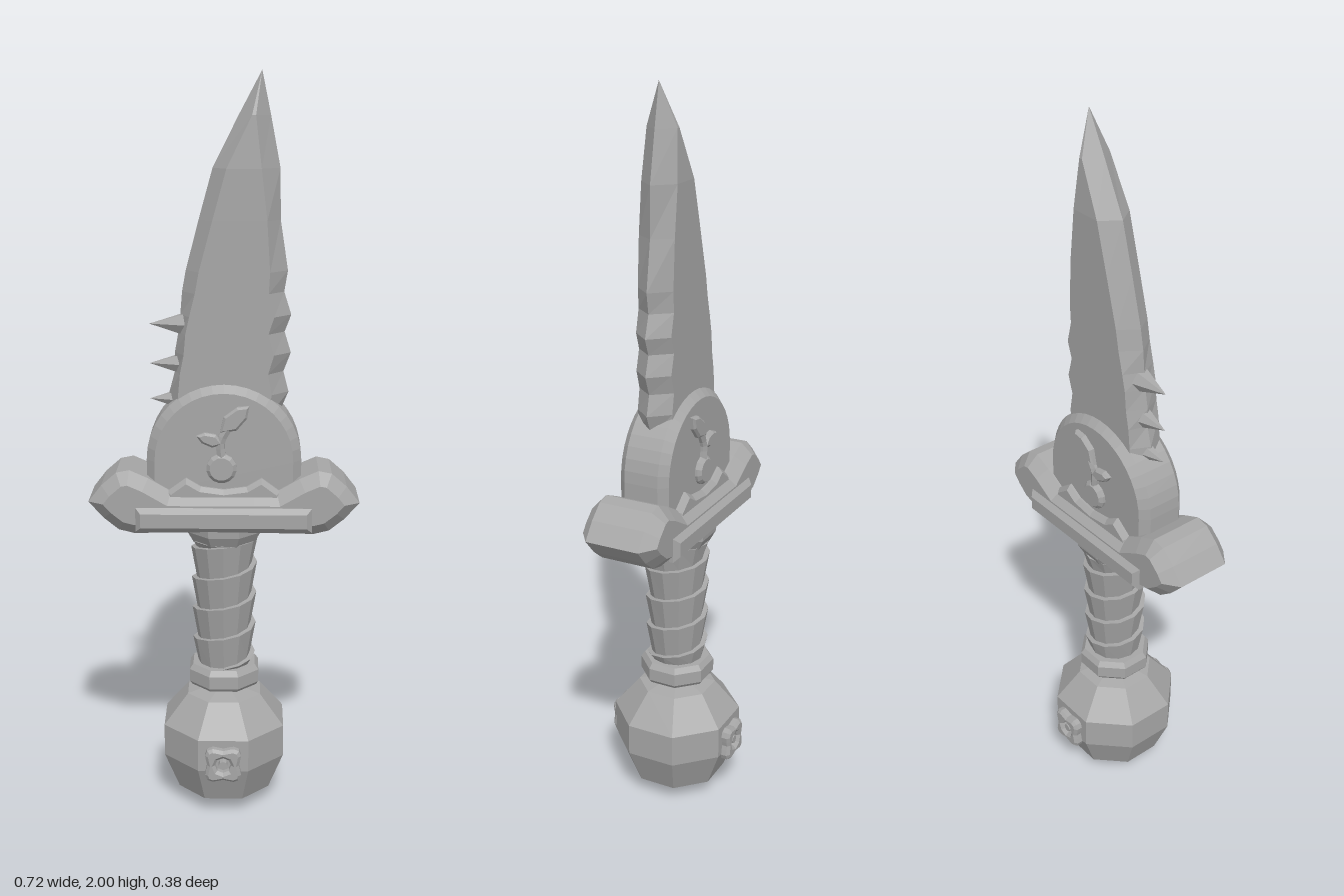
import * as THREE from 'three';
import { ParametricGeometry } from 'three/addons/geometries/ParametricGeometry.js';

const steel = new THREE.MeshStandardMaterial({ color: 0xa6a6a6, side: THREE.DoubleSide });
steel.name = 'grey steel';

export function createModel() {
  const model = new THREE.Group();
  model.name = 'dagger';

  // Adds a faceted mesh
  function add(name, geometry, parent = model) {
    const g = geometry.index ? geometry.toNonIndexed() : geometry;
    g.computeVertexNormals();
    const mesh = new THREE.Mesh(g, steel);
    mesh.name = name;
    parent.add(mesh);
    return mesh;
  }

  // Chamfered slab from an outline, spanning z0 to z1
  function slab(points, z0, z1, bevel, hole, bothSides = true) {
    const shape = new THREE.Shape(points.map(([x, y]) => new THREE.Vector2(x, y)));
    if (hole) shape.holes.push(new THREE.Path(hole.map(([x, y]) => new THREE.Vector2(x, y))));
    const g = new THREE.ExtrudeGeometry(shape, {
      depth: z1 - z0 - 2 * bevel, bevelEnabled: bevel > 0, bevelThickness: bevel,
      bevelSize: bevel, bevelOffset: -bevel, bevelSegments: 1, curveSegments: 8,
    });
    return g.translate(0, 0, z0 + bevel);
  }

  // Closed outline in polar form
  const ring = (n, radius, cx = 0, cy = 0) => Array.from({ length: n }, (_, i) => {
    const a = (i / n) * Math.PI * 2, r = radius(a);
    return [cx + r * Math.cos(a), cy + r * Math.sin(a)];
  });

  // Eight-sided turned part with a flat facing the front
  function turned(profile) {
    const k = 1 / Math.cos(Math.PI / 8);
    const pts = profile.map(([r, y]) => new THREE.Vector2(r * k, y));
    return new THREE.LatheGeometry(pts, 8, Math.PI / 8);
  }

  // Blade sections: y, left edge, left bevel, right bevel, right edge, half thickness
  const rows = [
    [0.98, -0.13, -0.11, 0.11, 0.14, 0.05],
    [1.12, -0.15, -0.125, 0.115, 0.145, 0.05],
    [1.18, -0.145, -0.12, 0.125, 0.17, 0.05],
    [1.235, -0.13, -0.115, 0.115, 0.156, 0.05],
    [1.285, -0.13, -0.105, 0.13, 0.175, 0.05],
    [1.34, -0.12, -0.1, 0.115, 0.158, 0.05],
    [1.385, -0.115, -0.09, 0.13, 0.175, 0.05],
    [1.445, -0.11, -0.075, 0.115, 0.156, 0.05],
    [1.5, -0.1, -0.065, 0.118, 0.165, 0.05],
    [1.63, -0.066, -0.03, 0.11, 0.145, 0.05],
    [1.76, -0.03, 0.006, 0.095, 0.143, 0.05],
    [1.89, 0.036, 0.07, 0.08, 0.118, 0.042],
    [2.0, 0.095, 0.095, 0.095, 0.095, 0],
  ];
  const pos = [], idx = [];
  rows.forEach(([y, oL, iL, iR, oR, t], r) => {
    pos.push(oL, y, 0, iL, y, t, iR, y, t, oR, y, 0, iR, y, -t, iL, y, -t);
    if (r === rows.length - 1) return;
    for (let i = 0; i < 6; i++) {
      const a = r * 6 + i, b = r * 6 + (i + 1) % 6;
      idx.push(a, b, b + 6, a, b + 6, a + 6);
    }
  });
  const bladeGeo = new THREE.BufferGeometry();
  bladeGeo.setAttribute('position', new THREE.Float32BufferAttribute(pos, 3));
  bladeGeo.setIndex(idx);
  add('blade', bladeGeo);

  // Spikes on the back of the blade
  for (const y of [1.36, 1.255, 1.16]) {
    const spike = add('spike', new THREE.ConeGeometry(0.034, 0.1, 6));
    spike.rotation.z = Math.PI / 2;
    spike.position.set(-0.147, y, 0);
  }

  // Round blade mount
  const arch = [[-0.205, 0.9], [0.205, 0.9]];
  for (let i = 0; i <= 20; i++) {
    const a = (i / 20) * Math.PI;
    arch.push([0.205 * Math.cos(a), 1.005 + 0.205 * Math.sin(a)]);
  }
  add('bladeMount', slab(arch, -0.07, 0.07, 0.022));

  // Winged guard, mirrored outline from right tip to centre
  const top = [[0.36, 0.895], [0.325, 0.94], [0.285, 0.975], [0.25, 0.982], [0.2, 0.96], [0.14, 0.925], [0.08, 0.925]];
  const bottom = [[0.1, 0.81], [0.24, 0.808], [0.28, 0.818], [0.32, 0.85]];
  const mirror = (list) => list.map(([x, y]) => [-x, y]).reverse();
  add('guard', slab([...top, ...mirror(top), ...mirror(bottom), ...bottom], -0.107, 0.107, 0.032));

  // Pointed crest over the guard centre
  add('guardCrest', slab([[-0.16, 0.88], [0.16, 0.88], [0.15, 0.925], [0.1, 0.962], [0.06, 0.938],
    [0, 0.93], [-0.06, 0.938], [-0.1, 0.962], [-0.15, 0.925]], -0.088, 0.088, 0.012));

  // Neck collar, lower collar and pommel
  add('neckCollar', turned([[0, 0.83], [0.1, 0.825], [0.098, 0.8], [0.082, 0.77], [0, 0.77]].reverse()));
  add('lowerCollar', turned([[0, 0.355], [0.088, 0.355], [0.095, 0.365], [0.095, 0.4], [0.085, 0.415], [0, 0.415]]));
  add('pommel', turned([[0, 0.004], [0.125, 0.05], [0.165, 0.155], [0.165, 0.245], [0.1, 0.328], [0, 0.352]]));

  // Grip core with an overlapping helical wrap
  add('gripCore', new THREE.CylinderGeometry(0.076, 0.07, 0.38, 12).translate(0, 0.59, 0));
  const turns = 5, pitch = 0.088;
  add('gripWrap', new ParametricGeometry((u, v, target) => {
    const a = u * turns * Math.PI * 2;
    const t = Math.min(v * 2, 1), ledge = Math.max(v * 2 - 1, 0);
    const y = THREE.MathUtils.clamp(0.33 + pitch * (u * turns + t), 0.41, 0.775);
    const r = 0.071 + 0.014 * t - 0.014 * ledge + 0.006 * (y - 0.41) / 0.365;
    target.set(r * Math.sin(a), y, r * Math.cos(a));
  }, turns * 12, 2));

  // Details repeated on front and back
  for (const side of [1, -1]) {
    const face = new THREE.Group();
    face.name = side > 0 ? 'frontDetails' : 'backDetails';
    const put = (name, geometry) => {
      if (side < 0) {
        // Mirror in z and restore the corner order
        geometry = geometry.index ? geometry.toNonIndexed() : geometry;
        geometry.scale(1, 1, -1);
        const p = geometry.attributes.position;
        const a = new THREE.Vector3(), b = new THREE.Vector3();
        for (let i = 0; i < p.count; i += 3) {
          a.fromBufferAttribute(p, i + 1);
          b.fromBufferAttribute(p, i + 2);
          p.setXYZ(i + 1, b.x, b.y, b.z);
          p.setXYZ(i + 2, a.x, a.y, a.z);
        }
      }
      return add(name, geometry, face);
    };

    // Bar across the guard
    put('guardBar', slab([[-0.233, 0.822], [0.233, 0.822], [0.233, 0.888], [-0.233, 0.888]], 0.08, 0.122, 0.014));

    // Four-lobed stud on the pommel
    const lobes = (a) => 0.052 - 0.009 * Math.cos(4 * a);
    put('pommelStud', slab(ring(24, lobes, 0, 0.18), 0.155, 0.188, 0.008, ring(8, () => 0.022, 0, 0.18).reverse()));
    put('studCentre', new THREE.CylinderGeometry(0.012, 0.014, 0.03, 8).rotateX(Math.PI / 2).translate(0, 0.18, 0.168));

    // Sprout ornament: bulb, stem and two leaves
    put('sproutBulb', slab(ring(14, (a) => 0.04 + 0.006 * Math.sin(a), -0.006, 0.982), 0.06, 0.086, 0.009));
    const stem = new THREE.CatmullRomCurve3([
      new THREE.Vector3(-0.005, 1.01, 0.072), new THREE.Vector3(-0.008, 1.06, 0.072), new THREE.Vector3(0.012, 1.1, 0.072)]);
    put('sproutStem', new THREE.TubeGeometry(stem, 6, 0.013, 6));
    const leaf = (length, width, angle, x, y) => {
      const outline = [[0, 0], [0.35, -0.5], [0.75, -0.4], [1, 0], [0.75, 0.4], [0.35, 0.5]];
      return slab(outline.map(([u, v]) => [u * length, v * width]), 0.06, 0.085, 0.006)
        .rotateZ(angle).translate(x, y, 0);
    };
    put('largeLeaf', leaf(0.105, 0.05, 0.75, -0.01, 1.085));
    put('smallLeaf', leaf(0.075, 0.036, 2.85, 0, 1.055));
    model.add(face);
  }
  return model;
}
